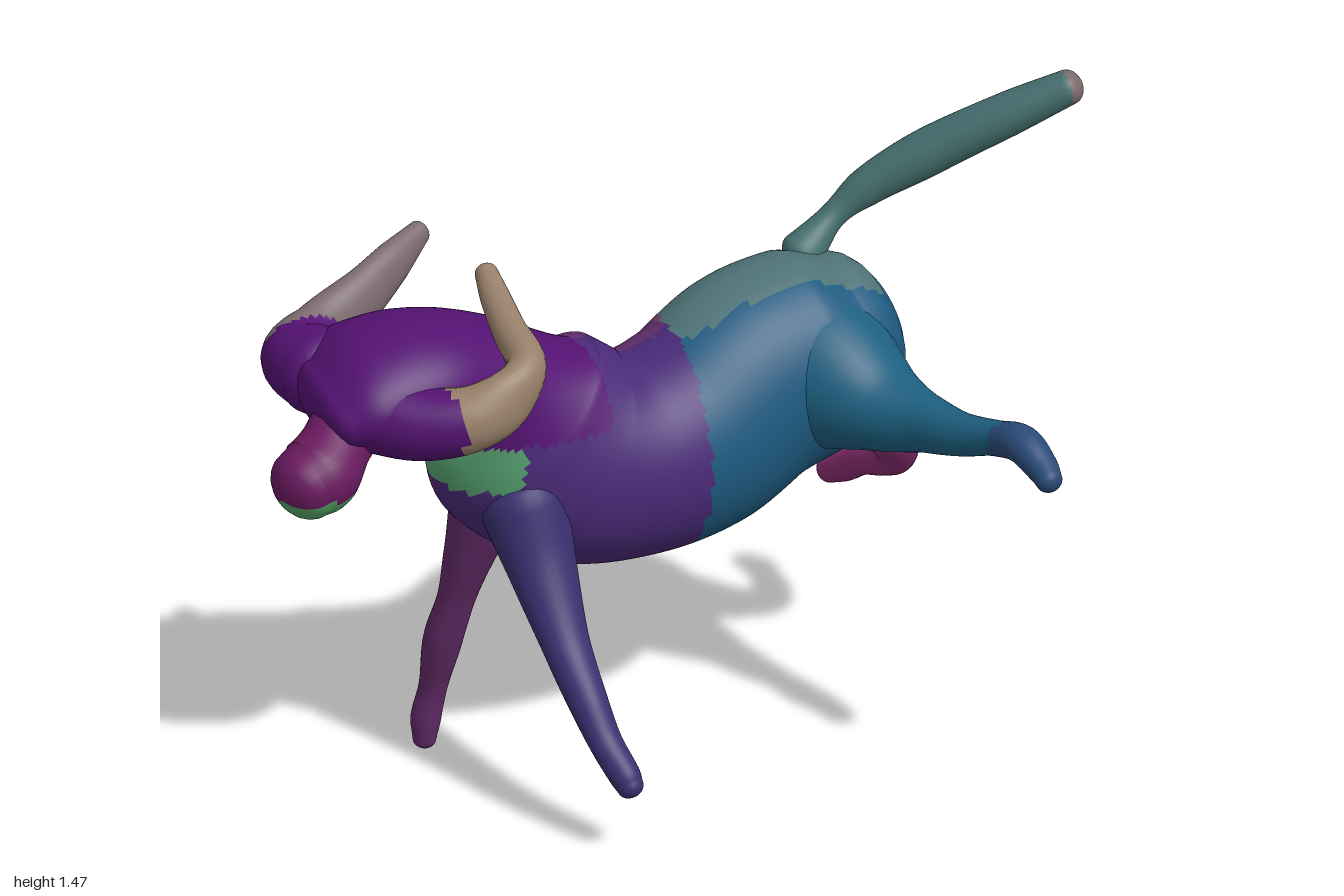
import * as THREE from 'three';

const UP = new THREE.Vector3(0, 1, 0);
const ALONG = new THREE.Vector3(1, 0, 0);

// Smooth closed loft. Each section: [x, y, z, radius along ref, radius across].
// pick(x, y, z) returns an index into colors, so one skin can carry several patches.
function loft(name, colors, sections, { ref = UP, steps = 40, sides = 28, cap = 0.8, pick = () => 0 } = {}) {
  const path = new THREE.CatmullRomCurve3(sections.map(s => new THREE.Vector3(s[0], s[1], s[2])));
  const size = new THREE.CatmullRomCurve3(sections.map(s => new THREE.Vector3(s[3], s[4] ?? s[3], 0)));
  const rings = [];
  const add = (t, scale = 1, shift = 0) => {
    const r = size.getPoint(t), tan = path.getTangent(t);
    const p = path.getPoint(t).addScaledVector(tan, shift * Math.min(r.x, r.y));
    rings.push({ p, tan, a: r.x * scale, b: r.y * scale });
  };
  const capSteps = 6, quarter = Math.PI / 2;
  for (let k = capSteps; k > 0; k--) {
    const a = quarter * k / capSteps;
    add(0, Math.max(Math.cos(a), 0.001), -cap * Math.sin(a));
  }
  for (let i = 0; i <= steps; i++) add(i / steps);
  for (let k = 1; k <= capSteps; k++) {
    const a = quarter * k / capSteps;
    add(1, Math.max(Math.cos(a), 0.001), cap * Math.sin(a));
  }
  const pos = [];
  for (const { p, tan, a, b } of rings) {
    const u = ref.clone().addScaledVector(tan, -ref.dot(tan)).normalize();
    const v = tan.clone().cross(u);
    for (let j = 0; j < sides; j++) {
      const th = 2 * Math.PI * j / sides;
      const q = p.clone().addScaledVector(u, a * Math.cos(th)).addScaledVector(v, b * Math.sin(th));
      pos.push(q.x, q.y, q.z);
    }
  }
  // Sort the faces into one list per colour
  const lists = colors.map(() => []);
  for (let i = 0; i < rings.length - 1; i++) {
    for (let j = 0; j < sides; j++) {
      const a = i * sides + j, b = i * sides + (j + 1) % sides;
      lists[pick(pos[3 * a], pos[3 * a + 1], pos[3 * a + 2])].push(a, b, b + sides, a, b + sides, a + sides);
    }
  }
  const geo = new THREE.BufferGeometry();
  geo.setAttribute('position', new THREE.Float32BufferAttribute(pos, 3));
  geo.setIndex(lists.flat());
  let start = 0;
  lists.forEach((l, i) => { geo.addGroup(start, l.length, i); start += l.length; });
  geo.computeVertexNormals();
  const mesh = new THREE.Mesh(geo, colors.map(color => new THREE.MeshStandardMaterial({ color })));
  mesh.name = name;
  return mesh;
}

export function createModel() {
  const model = new THREE.Group();
  model.name = 'animal';

  // Rump, barrel, chest, neck and broad head in one skin
  model.add(loft('bodyNeckAndHead', [0x4a2a78, 0x653070, 0x1d5a80, 0x7a3f72, 0x4f7378, 0x55a070, 0x541272], [
    [0.49, 0.885, -0.205, 0.185, 0.175],
    [0.40, 0.86, -0.20, 0.24, 0.21],
    [0.25, 0.82, -0.195, 0.25, 0.22],
    [0.10, 0.745, -0.17, 0.245, 0.22],
    [-0.05, 0.715, -0.16, 0.235, 0.22],
    [-0.19, 0.74, -0.16, 0.25, 0.21],
    [-0.32, 0.83, -0.16, 0.25, 0.19],
    [-0.42, 0.95, -0.16, 0.16, 0.175],
    [-0.52, 1.02, -0.145, 0.13, 0.175],
    [-0.62, 1.04, -0.13, 0.13, 0.19],
    [-0.72, 1.025, -0.14, 0.125, 0.205],
    [-0.80, 1.00, -0.15, 0.09, 0.185],
  ], {
    sides: 72, steps: 130, cap: 0.6,
    pick: (x, y, z) => {
      if (x < -0.4 && y > 0.74 && y < 0.86) return 5;
      if (x < -0.18 && y > 0.86) return 6;
      if (x < 0.05) return z > -0.18 ? 0 : 1;
      if (y > 0.99 && z < -0.1) return 4;
      return z > -0.18 ? 2 : 3;
    },
  }));

  // Muzzle with a light chin
  model.add(loft('muzzle', [0x6a1a60, 0x55a565], [
    [-0.74, 0.99, -0.12, 0.09],
    [-0.82, 0.94, -0.06, 0.08],
    [-0.88, 0.895, -0.025, 0.092],
    [-0.92, 0.88, -0.015, 0.084],
  ], { pick: (x, y) => (x < -0.8 && y < 0.85 ? 1 : 0) }));

  // Long ears, swept back differently on each side
  model.add(loft('leftEar', [0x98806a, 0x541272], [
    [-0.74, 1.01, -0.06, 0.10],
    [-0.66, 1.00, 0.04, 0.085],
    [-0.57, 1.02, 0.105, 0.075, 0.068],
    [-0.49, 1.06, 0.12, 0.07, 0.048],
    [-0.43, 1.11, 0.09, 0.05, 0.045],
    [-0.42, 1.15, -0.02, 0.042, 0.038],
    [-0.41, 1.185, -0.11, 0.034],
    [-0.40, 1.215, -0.18, 0.026],
  ], { pick: x => (x < -0.62 ? 1 : 0) }));
  model.add(loft('rightEar', [0x7d6c70, 0x541272], [
    [-0.77, 1.02, -0.25, 0.10],
    [-0.78, 1.025, -0.33, 0.09],
    [-0.72, 1.045, -0.375, 0.08, 0.058],
    [-0.60, 1.095, -0.41, 0.07, 0.045],
    [-0.50, 1.145, -0.45, 0.054, 0.036],
    [-0.42, 1.185, -0.485, 0.03, 0.024],
  ], { pick: (x, y, z) => (z > -0.34 && x < -0.7 ? 1 : 0) }));

  // Front legs
  model.add(loft('leftFrontLeg', [0x3a3070], [
    [-0.37, 0.70, -0.05, 0.10],
    [-0.36, 0.58, 0.02, 0.08, 0.07],
    [-0.35, 0.43, 0.125, 0.055, 0.048],
    [-0.34, 0.33, 0.215, 0.045, 0.043],
    [-0.325, 0.25, 0.28, 0.038, 0.034],
    [-0.305, 0.19, 0.335, 0.035, 0.036],
    [-0.30, 0.17, 0.352, 0.03],
  ], { ref: ALONG }));
  model.add(loft('rightFrontLeg', [0x602a65], [
    [-0.37, 0.69, -0.20, 0.10],
    [-0.415, 0.53, -0.225, 0.06],
    [-0.44, 0.38, -0.26, 0.042],
    [-0.455, 0.29, -0.285, 0.044],
    [-0.465, 0.15, -0.32, 0.032],
    [-0.476, 0.08, -0.33, 0.034],
    [-0.48, 0.025, -0.33, 0.026],
  ], { ref: ALONG }));

  // Hind legs, the left one kicked out to the side
  model.add(loft('leftHindLeg', [0x1d6080, 0x2a4a78], [
    [0.37, 0.85, -0.15, 0.20, 0.18],
    [0.41, 0.835, -0.05, 0.165, 0.15],
    [0.46, 0.815, 0.07, 0.10, 0.10],
    [0.50, 0.82, 0.18, 0.068, 0.062],
    [0.53, 0.835, 0.29, 0.05],
    [0.565, 0.87, 0.41, 0.04],
    [0.585, 0.89, 0.50, 0.043],
    [0.60, 0.86, 0.57, 0.036],
    [0.60, 0.845, 0.605, 0.03],
  ], { pick: (x, y, z) => (z > 0.42 ? 1 : 0) }));
  model.add(loft('rightHindLeg', [0x8c2f72], [
    [0.42, 0.82, -0.22, 0.15],
    [0.51, 0.72, -0.195, 0.11],
    [0.59, 0.62, -0.195, 0.064],
    [0.63, 0.535, -0.245, 0.046],
    [0.655, 0.46, -0.36, 0.037],
    [0.655, 0.41, -0.47, 0.034],
    [0.65, 0.365, -0.55, 0.038],
    [0.635, 0.335, -0.60, 0.032],
  ], { ref: ALONG }));

  // Raised tail
  model.add(loft('tail', [0x466f70, 0x7a6a6a], [
    [0.42, 1.05, -0.285, 0.05],
    [0.50, 1.12, -0.295, 0.03],
    [0.57, 1.175, -0.285, 0.043],
    [0.70, 1.265, -0.225, 0.054],
    [0.85, 1.365, -0.135, 0.05],
    [0.965, 1.435, -0.07, 0.04],
  ], { pick: x => (x > 0.95 ? 1 : 0) }));

  return model;
}
